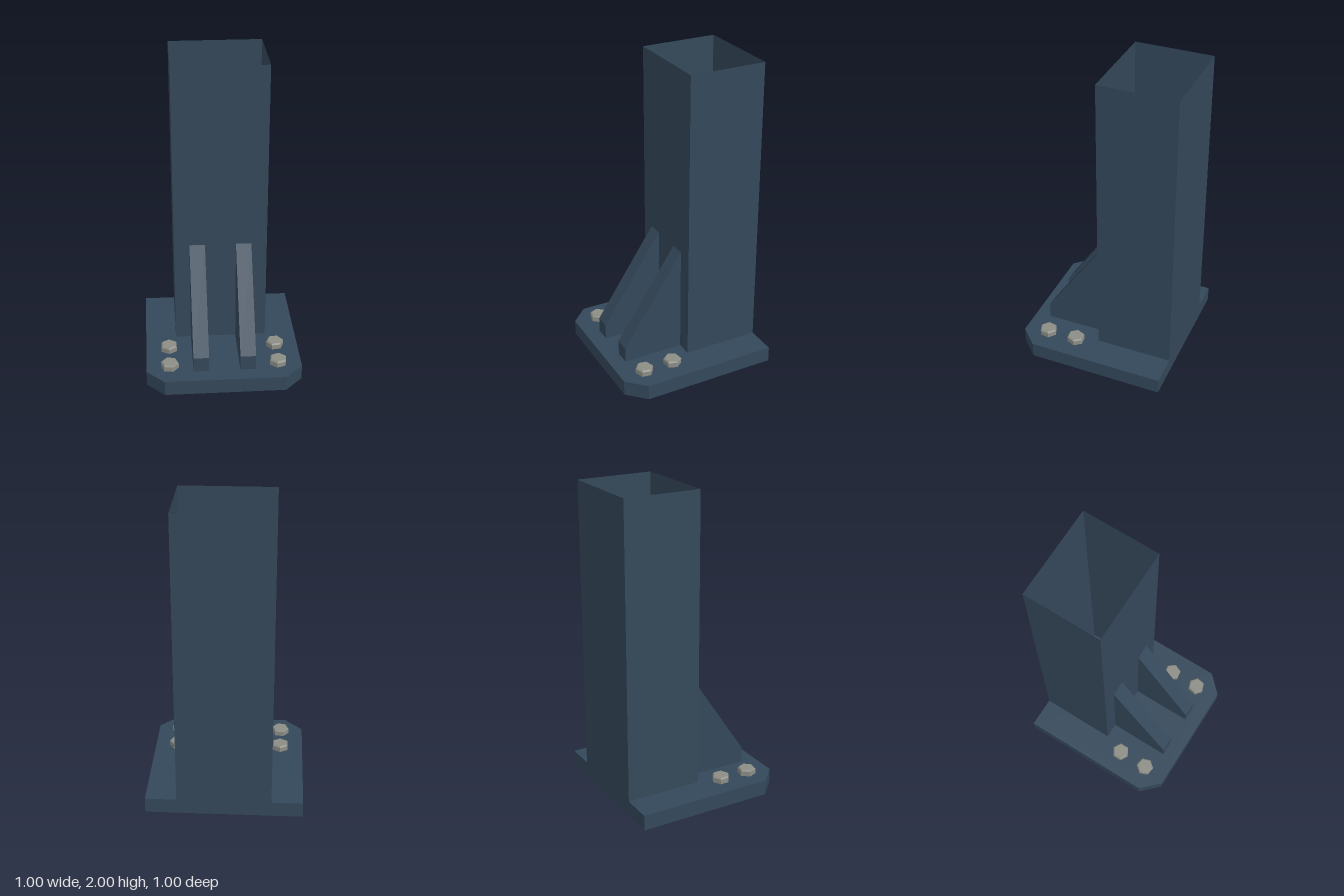
import * as THREE from 'three';

const bodyPaint = new THREE.MeshStandardMaterial({ color: 0x34485a, side: THREE.DoubleSide });
bodyPaint.name = 'blue steel';
const boltMetal = new THREE.MeshStandardMaterial({ color: 0x8c8e86 });
boltMetal.name = 'grey bolt metal';

// Give every face its own normal so edges stay sharp
function faceted(geometry) {
  const g = geometry.index ? geometry.toNonIndexed() : geometry;
  g.computeVertexNormals();
  return g;
}

function addPart(parent, name, geometry, material) {
  const mesh = new THREE.Mesh(faceted(geometry), material);
  mesh.name = name;
  parent.add(mesh);
  return mesh;
}

function extrude(points, depth) {
  const shape = new THREE.Shape(points.map(([x, y]) => new THREE.Vector2(x, y)));
  return new THREE.ExtrudeGeometry(shape, { depth, bevelEnabled: false });
}

export function createModel() {
  const group = new THREE.Group();
  group.name = 'columnBase';

  // Base plate with two clipped front corners; outline is (x, -z)
  const plate = extrude([
    [-0.5, 0.5], [-0.5, -0.385], [-0.385, -0.5],
    [0.385, -0.5], [0.5, -0.385], [0.5, 0.5],
  ], 0.1);
  plate.rotateX(-Math.PI / 2);
  addPart(group, 'basePlate', plate, bodyPaint);

  // Hollow thin-walled column, open at the top
  const column = new THREE.CylinderGeometry(Math.SQRT1_2, Math.SQRT1_2, 1.9, 4, 1, true);
  column.rotateY(Math.PI / 4).scale(0.6, 1, 0.5).translate(0, 1.05, -0.25);
  addPart(group, 'column', column, bodyPaint);

  // Pair of sloped gussets; outline is (z, y)
  for (const side of [-1, 1]) {
    const gusset = extrude([[0, 0.1], [0.4, 0.1], [0.4, 0.2], [0, 0.8]], 0.1);
    gusset.rotateY(-Math.PI / 2).translate(0.05, 0, 0);
    const mesh = addPart(group, side > 0 ? 'leftGusset' : 'rightGusset', gusset, bodyPaint);
    mesh.position.x = side * 0.15;
  }

  // Chamfered hexagonal bolt heads, each turned differently: x, z, degrees
  const headProfile = [[0.058, 0], [0.058, 0.032], [0.05, 0.041], [0, 0.041]]
    .map(([r, y]) => new THREE.Vector2(r, y));
  const bolts = [[-0.35, 0.14, 0], [-0.35, 0.34, 20], [0.35, 0.14, 37], [0.35, 0.34, 50]];
  bolts.forEach(([x, z, turn], i) => {
    const bolt = addPart(group, `bolt${i + 1}`, new THREE.LatheGeometry(headProfile, 6), boltMetal);
    bolt.position.set(x, 0.1, z);
    bolt.rotation.y = THREE.MathUtils.degToRad(turn);
  });

  return group;
}
